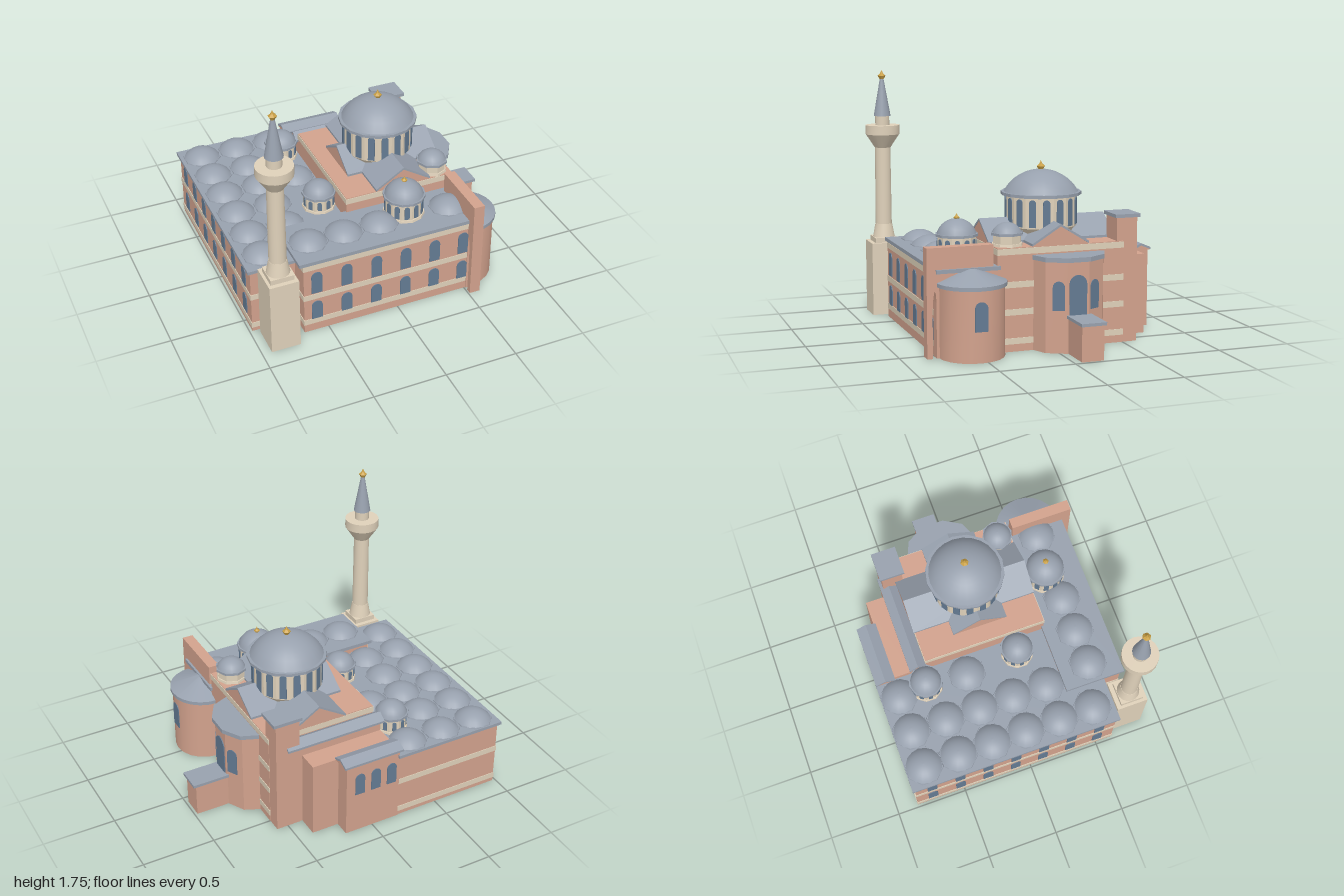
import * as THREE from 'three';
import { toCreasedNormals } from 'three/addons/utils/BufferGeometryUtils.js';

const material = (name, color, side = THREE.FrontSide) => {
  const m = new THREE.MeshStandardMaterial({ color, side });
  m.name = name;
  return m;
};

export function createModel() {
  const brick = material('brick', 0xd2a28d, THREE.DoubleSide);
  const stone = material('pale stone', 0xdfd1ba, THREE.DoubleSide);
  const lead = material('lead roofing', 0x98a1ae, THREE.DoubleSide);
  const glass = material('window glass', 0x647b93);
  const gold = material('gilding', 0xc9a045);
  const model = new THREE.Group();
  model.name = 'domedBuilding';

  const add = (name, geo, mat, x = 0, y = 0, z = 0, parent = model) => {
    const mesh = new THREE.Mesh(geo, mat);
    mesh.name = name;
    mesh.position.set(x, y, z);
    parent.add(mesh);
    return mesh;
  };
  // Box given by its limits on each axis; boxes on the ground are open below
  const box = (name, mat, x0, x1, y0, y1, z0, z1) => {
    const geo = new THREE.BoxGeometry(x1 - x0, y1 - y0, z1 - z0);
    if (y0 === 0) geo.setIndex([...geo.index.array].filter((v, i) => i < 18 || i >= 24));
    return add(name, geo, mat, (x0 + x1) / 2, (y0 + y1) / 2, (z0 + z1) / 2);
  };
  // Straight or tapered round part between two heights, open below on the ground
  const round = (name, mat, x, z, y0, y1, r0, r1, sides = 16, start = 0, length = Math.PI * 2) =>
    add(name, toCreasedNormals(new THREE.CylinderGeometry(r1, r0, y1 - y0, sides, 1, y0 === 0, start, length), 0.36),
      mat, x, (y0 + y1) / 2, z);
  // Spherical cap of given radius and rise
  const dome = (name, x, y, z, r, h, sides = 16) => {
    const R = (r * r + h * h) / (2 * h), end = Math.atan2(r, R - h), pts = [];
    for (let i = 0; i <= 8; i++) {
      const a = end * (1 - i / 8);
      pts.push(new THREE.Vector2(Math.max(0, R * Math.sin(a)), R * Math.cos(a) - R + h));
    }
    return add(name, new THREE.LatheGeometry(pts, sides), lead, x, y, z);
  };
  // Thin round-headed pane standing on its sill, facing the given angle
  const windowPane = (x, y, z, w, h, angle) => {
    const s = new THREE.Shape(), r = w / 2;
    s.moveTo(-r, 0);
    s.lineTo(r, 0);
    s.lineTo(r, h - r);
    s.absarc(0, h - r, r, 0, Math.PI, false);
    const geo = new THREE.ExtrudeGeometry(s, { depth: 0.006, bevelEnabled: false, curveSegments: 8 });
    add('archedWindow', geo, glass, x, y, z).rotation.y = angle;
  };
  const drumWindows = (x, z, y, r, h, w, n) => {
    for (let i = 0; i < n; i++) {
      const a = (i + 0.5) * 2 * Math.PI / n, d = r * Math.cos(Math.PI / n);
      windowPane(x + d * Math.sin(a), y, z + d * Math.cos(a), w, h, a);
    }
  };
  const finial = (x, y, z, s = 1) => {
    const pts = [[0.008, 0], [0.012, 0.012], [0.029, 0.04], [0.012, 0.055], [0, 0.08]];
    add('finial', toCreasedNormals(new THREE.LatheGeometry(pts.map(p => new THREE.Vector2(p[0] * s, p[1] * s)), 6), 0.3),
      gold, x, y, z);
  };
  // Pitched lead roof over a masonry gable; runs along z, or along x when turned
  const gable = (name, x, y, z, width, rise, length, turned) => {
    const g = new THREE.Group(), w = width / 2, t = 0.016;
    g.name = name;
    const prism = (pts, len) => new THREE.ExtrudeGeometry(
      new THREE.Shape(pts.map(p => new THREE.Vector2(...p))), { depth: len, bevelEnabled: false }).translate(0, 0, -len / 2);
    add('gableWall', prism([[-w, 0], [w, 0], [0, rise]], length - 0.004), brick, 0, 0, 0, g);
    add('pitchedRoof', prism([[-w, 0], [0, rise], [w, 0], [w, t], [0, rise + t], [-w, t]], length), lead, 0, 0, 0, g);
    g.position.set(x, y, z);
    if (turned) g.rotation.y = Math.PI / 2;
    model.add(g);
  };
  // Stone courses wrapped round a wall block, built as four thin strips
  const bands = (heights, x0, x1, z0, z1, h = 0.04, t = 0.004) => heights.forEach(y => {
    for (const x of [x0, x1]) box('stoneBand', stone, x - t, x + t, y, y + h, z0 - t, z1 + t);
    for (const z of [z0, z1]) box('stoneBand', stone, x0 - t, x1 + t, y, y + h, z - t, z + t);
  });
  const shallowDome = (x, y, z) => {
    round('domeBase', lead, x, z, y, y + 0.01, 0.135, 0.132, 8, Math.PI / 8);
    dome('shallowDome', x, y + 0.008, z, 0.126, 0.063);
  };

  // Entrance halls on the west side
  box('westHall', brick, -0.98, -0.19, 0, 0.485, -0.85, 0.62);
  box('westRoof', lead, -1, -0.19, 0.485, 0.507, -0.87, 0.64);
  bands([0.03, 0.26], -0.98, -0.2, -0.85, 0.62);
  const rows = [-0.74, -0.49, -0.245, 0, 0.245, 0.49];
  rows.forEach((z, i) => {
    shallowDome(-0.85, 0.505, z);
    if (i < 5) shallowDome(-0.59, 0.505, z);
    if (i === 0 || i === 2) shallowDome(-0.33, 0.505, z);
  });
  for (let i = 0; i < 7; i++) for (const y of [0.09, 0.31])
    windowPane(-0.98, y, -0.73 + i * 0.205, 0.07, 0.14, -Math.PI / 2);

  // South hall
  box('southHall', brick, -0.67, 0.58, 0, 0.545, 0.36, 0.77);
  box('southRoof', lead, -0.7, 0.6, 0.545, 0.57, 0.355, 0.78);
  bands([0.06, 0.26, 0.5], -0.67, 0.575, 0.365, 0.77);
  for (let i = 0; i < 6; i++) for (const y of [0.1, 0.31])
    windowPane(-0.58 + i * 0.211, y, 0.77, 0.075, y > 0.2 ? 0.165 : 0.14, 0);
  for (const x of [-0.555, -0.305, -0.05, 0.455]) shallowDome(x, 0.567, 0.565);

  // South hall apse
  round('southApse', brick, 0.575, 0.545, 0, 0.465, 0.215, 0.215, 10, 0, Math.PI);
  round('southApseEave', lead, 0.575, 0.545, 0.46, 0.485, 0.23, 0.23, 12, 0, Math.PI);
  round('southApseRoof', lead, 0.575, 0.545, 0.485, 0.565, 0.23, 0.03, 12, 0, Math.PI);
  windowPane(0.785, 0.2, 0.545, 0.085, 0.19, Math.PI / 2);

  // Buttress wall with a narrow arched passage
  const wall = new THREE.Shape();
  wall.moveTo(0.4, 0);
  wall.lineTo(0.777, 0);
  wall.lineTo(0.777, 0.36);
  wall.quadraticCurveTo(0.78, 0.43, 0.788, 0.43);
  wall.quadraticCurveTo(0.8, 0.4, 0.803, 0.3);
  wall.lineTo(0.803, 0);
  wall.lineTo(0.84, 0);
  wall.lineTo(0.84, 0.71);
  wall.lineTo(0.4, 0.71);
  add('buttressWall', new THREE.ExtrudeGeometry(wall, { depth: 0.075, bevelEnabled: false }), brick, 0.585, 0, 0)
    .rotation.y = -Math.PI / 2;

  // Main hall with its crossing roofs
  box('mainHall', brick, -0.2, 0.583, 0, 0.68, -0.5, 0.37);
  bands([0.05, 0.24, 0.42, 0.635], -0.2, 0.583, -0.5, 0.37);
  gable('crossRoof', 0.215, 0.68, -0.068, 0.4, 0.125, 0.886, false);
  gable('crossRoof', 0.248, 0.68, -0.06, 0.39, 0.12, 0.676, true);

  // Main drum and dome
  round('drumFoot', stone, 0.215, -0.06, 0.67, 0.76, 0.17, 0.24, 16);
  round('mainDrum', stone, 0.215, -0.06, 0.76, 0.97, 0.24, 0.24, 16);
  drumWindows(0.215, -0.06, 0.77, 0.24, 0.182, 0.047, 16);
  round('mainCornice', lead, 0.215, -0.06, 0.965, 0.985, 0.27, 0.27, 16);
  dome('mainDome', 0.215, 0.983, -0.06, 0.25, 0.148, 24);
  finial(0.215, 1.11, -0.06);

  // Smaller domes on drums: x, z, foot, cornice height, drum radius, dome rise, sides, glazed
  const small = [
    [0.155, 0.51, 0.565, 0.71, 0.13, 0.1, 12, true],
    [0.475, 0.27, 0.675, 0.755, 0.095, 0.065, 8, false],
    [-0.305, 0.135, 0.5, 0.615, 0.105, 0.08, 10, true],
    [-0.32, -0.54, 0.5, 0.615, 0.105, 0.08, 10, true],
  ];
  for (const [x, z, y, top, r, rise, n, glazed] of small) {
    round('smallDrum', stone, x, z, y, top, r, r, n);
    round('smallDrumFoot', stone, x, z, y, y + 0.022, r + 0.012, r + 0.008, n);
    if (glazed) drumWindows(x, z, y + 0.03, r, top - y - 0.05, r * 0.26, n);
    round('smallCornice', lead, x, z, top - 0.005, top + 0.012, r + 0.014, r + 0.014, n);
    dome('smallDome', x, top + 0.01, z, r + 0.003, rise);
  }
  finial(0.155, 0.796, 0.51, 0.75);

  // Faceted east apse with a flat lead roof
  round('eastApse', brick, 0.58, -0.115, 0, 0.6, 0.245, 0.245, 5, 0, Math.PI).scale.x = 0.73;
  round('eastApseRoof', lead, 0.58, -0.115, 0.595, 0.625, 0.251, 0.251, 5, 0, Math.PI).scale.x = 0.8;
  windowPane(0.75, 0.25, -0.115, 0.12, 0.26, Math.PI / 2);
  for (const s of [-1, 1])
    windowPane(0.724, 0.28, -0.115 + s * 0.122, 0.078, 0.19, Math.PI / 2 - s * 0.483);

  // Low pier in front of the east apse
  box('eastPier', brick, 0.58, 0.98, 0, 0.23, -0.2, -0.05);
  box('eastPierCap', lead, 0.58, 1, 0.23, 0.25, -0.21, -0.04);

  // North aisle, annex and corner tower
  box('northAisle', brick, -0.2, 0.575, 0, 0.61, -0.598, -0.49);
  gable('northAisleRoof', 0.14, 0.61, -0.56, 0.12, 0.04, 0.72, true);
  box('northPassage', brick, -0.2, 0.39, 0, 0.545, -0.745, -0.6);
  box('northAnnex', brick, -0.2, 0.2, 0, 0.545, -0.855, -0.74);
  gable('northAnnexRoof', 0, 0.538, -0.8, 0.14, 0.03, 0.44, true);
  for (const x of [0.1, -0.02, -0.14]) windowPane(x, 0.3, -0.855, 0.07, 0.16, Math.PI);
  box('cornerTower', brick, 0.41, 0.58, 0, 0.835, -0.6, -0.455);
  box('cornerTowerCap', lead, 0.395, 0.6, 0.835, 0.858, -0.615, -0.44);

  // Tall slender tower
  const tx = -0.835, tz = 0.755;
  box('towerBase', stone, tx - 0.1, tx + 0.1, 0, 0.52, tz - 0.11, tz + 0.11);
  box('towerPlinth', stone, tx - 0.08, tx + 0.08, 0.52, 0.555, tz - 0.08, tz + 0.08);
  round('towerFoot', stone, tx, tz, 0.555, 0.65, 0.078, 0.06, 20);
  round('towerShaft', stone, tx, tz, 0.65, 1.2, 0.058, 0.055, 20);
  round('balconyCorbel', stone, tx, tz, 1.2, 1.295, 0.057, 0.12, 20);
  round('balcony', stone, tx, tz, 1.295, 1.36, 0.121, 0.121, 20);
  round('towerNeck', stone, tx, tz, 1.36, 1.43, 0.05, 0.05, 20);
  round('towerSpire', lead, tx, tz, 1.425, 1.69, 0.06, 0.013, 20);
  finial(tx, 1.67, tz);

  return model;
}
